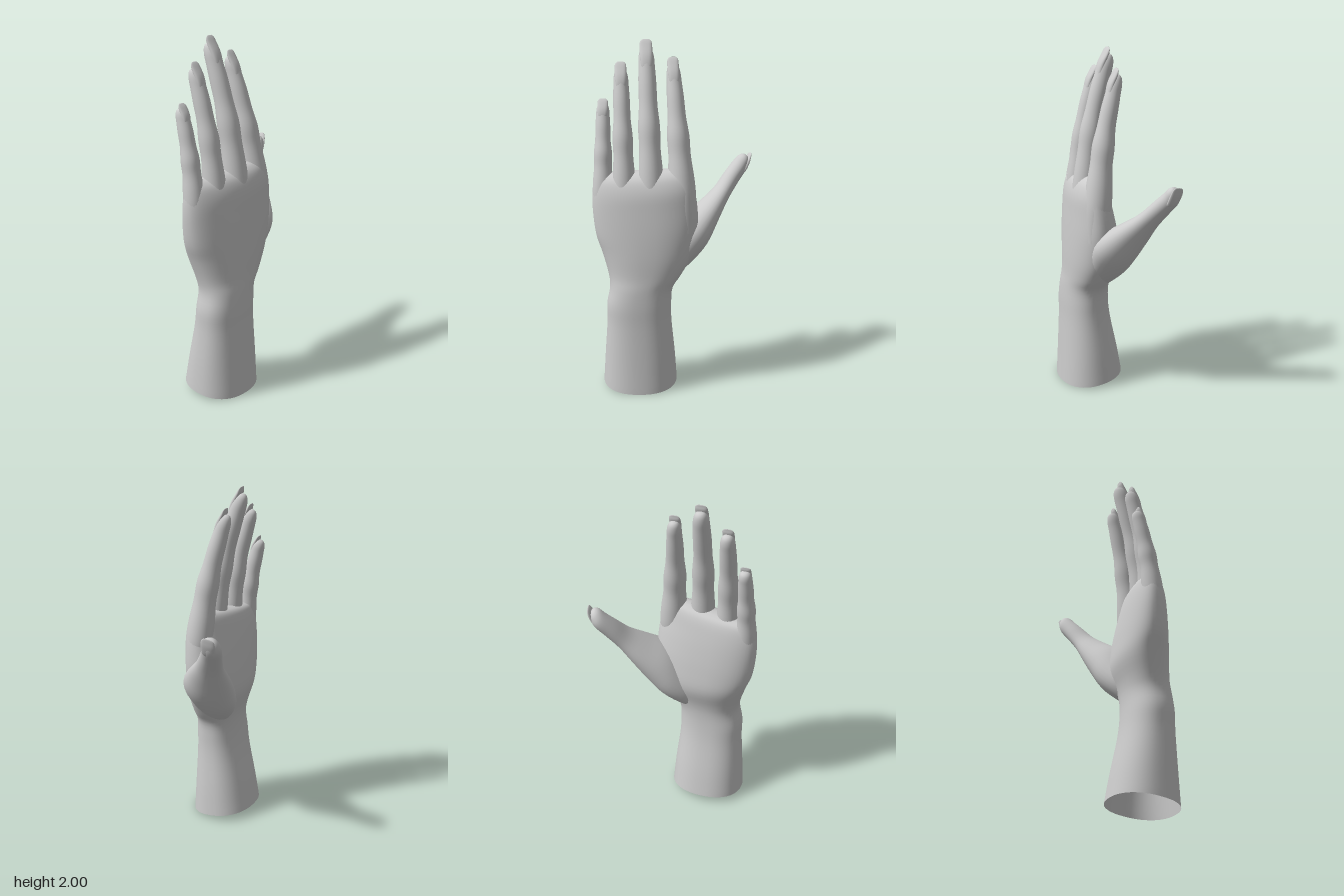
import * as THREE from 'three';

const v3 = (x, y, z) => new THREE.Vector3(x, y, z);
const material = new THREE.MeshStandardMaterial({ color: 0xcccccc, side: THREE.DoubleSide });

// Smooth skin through rings of { c: centre, u, v: half axes }; the last ring is closed.
function loft(name, rings, { sides = 28, steps = 4, power = 1 } = {}) {
  const spline = key => new THREE.CatmullRomCurve3(rings.map(r => r[key]), false, 'catmullrom', 0.5);
  const [c, u, v] = ['c', 'u', 'v'].map(spline);
  const rows = (rings.length - 1) * steps;
  const round = s => Math.sign(s) * Math.abs(s) ** power;
  const positions = [], index = [];
  for (let i = 0; i <= rows; i++) {
    const t = i / rows, centre = c.getPoint(t), a = u.getPoint(t), b = v.getPoint(t);
    for (let j = 0; j < sides; j++) {
      const angle = (j / sides) * Math.PI * 2;
      const p = centre.clone().addScaledVector(a, round(Math.cos(angle))).addScaledVector(b, round(Math.sin(angle)));
      positions.push(p.x, p.y, p.z);
      const k = (j + 1) % sides, low = i * sides, high = low + sides;
      if (i < rows) index.push(low + j, high + j, low + k, low + k, high + j, high + k);
      else index.push(low + j, (rows + 1) * sides, low + k);
    }
  }
  positions.push(...c.getPoint(1).toArray());
  const geometry = new THREE.BufferGeometry();
  geometry.setAttribute('position', new THREE.Float32BufferAttribute(positions, 3));
  geometry.setIndex(index);
  geometry.computeVertexNormals();
  const mesh = new THREE.Mesh(geometry, material);
  mesh.name = name;
  return mesh;
}

// Forearm, wrist and palm: y, x, z, half depth, half width, lean of the palm, tilt of the ring
function palm() {
  const rows = [
    [0.025, 0.035, 0.195, 0.185, 0.215, 0, -0.025],
    [0.2, 0.045, 0.195, 0.165, 0.203, 0, -0.01],
    [0.4, 0.06, 0.197, 0.14, 0.186, 0, 0],
    [0.52, 0.067, 0.197, 0.131, 0.184, 0, 0],
    [0.62, 0.067, 0.183, 0.126, 0.18, 0, 0],
    [0.7, 0.06, 0.162, 0.128, 0.208, -0.01, 0],
    [0.82, 0.045, 0.147, 0.142, 0.256, -0.018, 0],
    [0.95, 0.047, 0.15, 0.134, 0.287, -0.028, 0],
    [1.08, 0.052, 0.16, 0.119, 0.292, -0.036, 0],
    [1.18, 0.057, 0.168, 0.104, 0.284, -0.042, 0],
    [1.25, 0.055, 0.17, 0.083, 0.272, -0.042, 0],
    [1.285, 0.05, 0.17, 0.056, 0.258, -0.042, 0],
    [1.3, 0.05, 0.17, 0.02, 0.24, -0.042, 0],
  ];
  return loft('palmAndForearm', rows.map(([y, x, z, rx, rz, lean, tilt], i) => ({
    c: v3(x, y, z), u: v3(rx, tilt, 0), v: v3(lean, i > 6 ? -0.025 : 0, rz),
  })), { sides: 48, power: 0.88 });
}

// Finger rising out of the palm, swelling at the joints, with its nail on the back
function finger(name, { base, tip, bow, wide, narrow }) {
  const group = new THREE.Group();
  group.name = name;
  const at = t => v3(...base).lerp(v3(...tip), t).add(v3(bow * Math.sin(Math.PI * t), 0, 0));
  const profile = [
    [-0.36, 0.6], [-0.2, 0.85], [-0.05, 0.98], [0.1, 1], [0.28, 0.96], [0.43, 1.07], [0.58, 0.99], [0.73, 1.06],
    [0.85, 1.06], [0.92, 1], [0.965, 0.8], [0.988, 0.5], [0.996, 0.15],
  ];
  group.add(loft('fingerFlesh', profile.map(([t, swell]) => {
    const r = THREE.MathUtils.lerp(wide, narrow, Math.max(0, Math.min(1, t * 1.15))) * swell;
    return { c: at(t), u: v3(r, r * 0.2, 0), v: v3(0, 0, r) };
  })));
  // along the finger, lift off its axis, half thickness, half width
  const nail = [
    [0.83, 0.4, 0.2, 0.45], [0.85, 0.66, 0.4, 0.7], [0.93, 0.66, 0.44, 0.82], [1, 0.42, 0.32, 0.82],
    [1.03, 0.22, 0.16, 0.72], [1.045, 0.1, 0.05, 0.42],
  ];
  group.add(loft('nail', nail.map(([t, lift, thick, w]) => ({
    c: at(Math.min(t, 1)).add(v3(narrow * lift, Math.max(0, t - 1) * (tip[1] - base[1]), 0)),
    u: v3(narrow * thick, 0, 0),
    v: v3(0, 0, narrow * w),
  })), { sides: 16, steps: 3, power: 0.85 }));
  return group;
}

// Thumb leaning away from the palm: y, x, z, half depth, half width
function thumb() {
  const group = new THREE.Group();
  group.name = 'thumb';
  const out = v3(0, 1, 1).normalize(), across = v3(1, 0.2, -0.2).normalize();
  const ring = ([y, x, z, rx, r]) => ({ c: v3(x, y, z), u: across.clone().multiplyScalar(rx), v: out.clone().multiplyScalar(r) });
  group.add(loft('thumbFlesh', [
    [0.63, 0.06, 0.12, 0.05, 0.05],
    [0.73, 0.03, 0.05, 0.105, 0.085],
    [0.825, 0.01, -0.033, 0.138, 0.102],
    [0.925, -0.005, -0.113, 0.146, 0.105],
    [1.025, -0.055, -0.2, 0.113, 0.076],
    [1.115, -0.103, -0.275, 0.077, 0.053],
    [1.2, -0.148, -0.338, 0.061, 0.049],
    [1.262, -0.178, -0.388, 0.053, 0.046],
    [1.297, -0.184, -0.412, 0.044, 0.038],
    [1.316, -0.187, -0.424, 0.027, 0.023],
    [1.322, -0.187, -0.428, 0.008, 0.008],
  ].map(ring)));
  group.add(loft('nail', [
    [1.22, -0.165, -0.385, 0.025, 0.01],
    [1.24, -0.172, -0.41, 0.036, 0.014],
    [1.29, -0.182, -0.434, 0.04, 0.013],
    [1.32, -0.187, -0.445, 0.036, 0.008],
    [1.333, -0.189, -0.45, 0.026, 0.004],
    [1.337, -0.19, -0.452, 0.01, 0.001],
  ].map(ring), { sides: 16, steps: 3, power: 0.85 }));
  return group;
}

export function createModel() {
  const hand = new THREE.Group();
  hand.name = 'hand';
  hand.add(palm(), thumb());
  const fingers = {
    indexFinger: { base: [0.083, 1.2, -0.047], tip: [-0.058, 1.88, 0], bow: 0.02, wide: 0.077, narrow: 0.038 },
    middleFinger: { base: [0.086, 1.22, 0.122], tip: [-0.078, 1.97, 0.146], bow: 0.026, wide: 0.07, narrow: 0.042 },
    ringFinger: { base: [0.06, 1.2, 0.272], tip: [-0.066, 1.855, 0.285], bow: 0.022, wide: 0.065, narrow: 0.039 },
    littleFinger: { base: [0.018, 1.18, 0.392], tip: [-0.07, 1.66, 0.386], bow: 0.012, wide: 0.059, narrow: 0.035 },
  };
  for (const [name, shape] of Object.entries(fingers)) hand.add(finger(name, shape));
  return hand;
}
